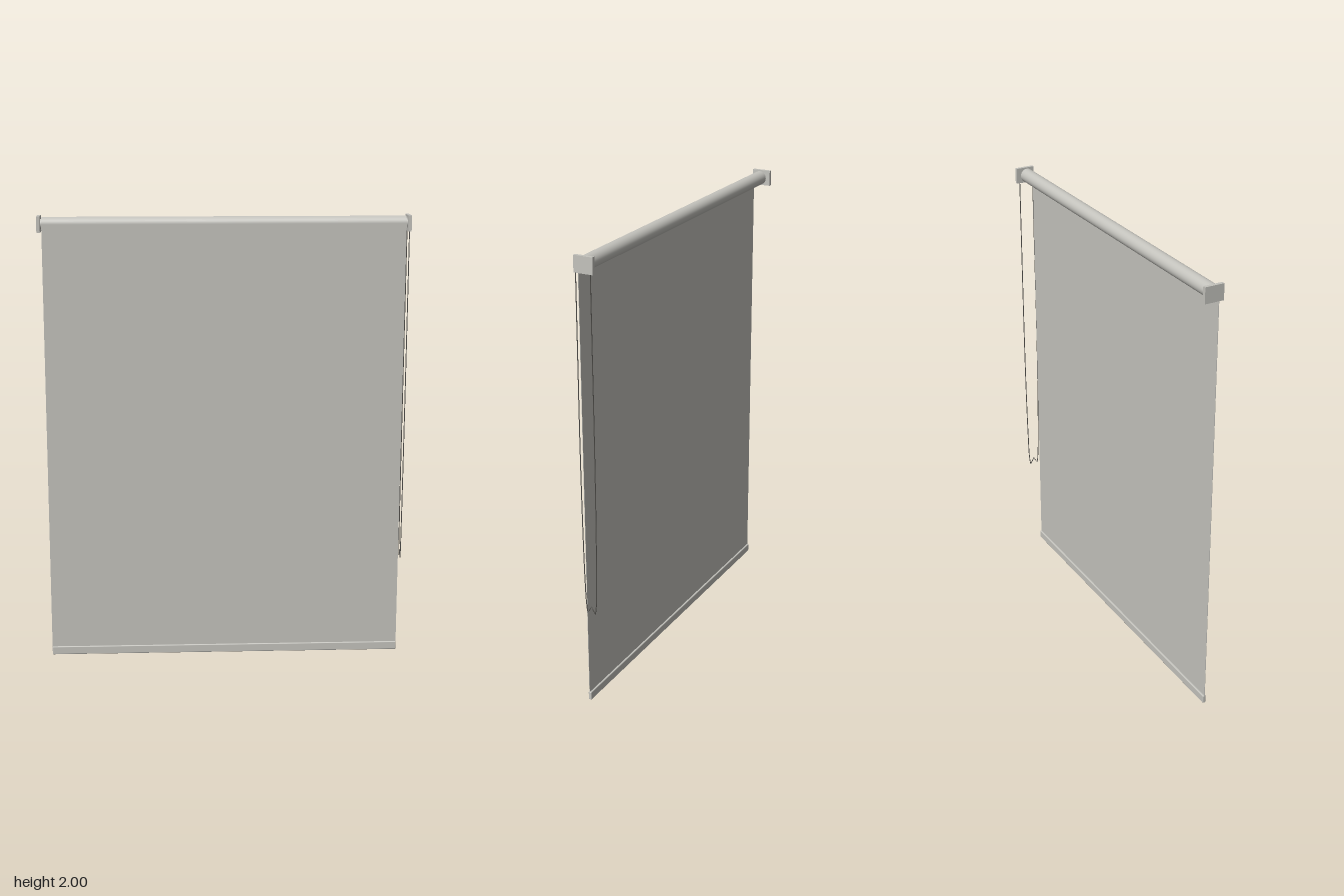
import * as THREE from 'three';
import { RoundedBoxGeometry } from 'three/addons/geometries/RoundedBoxGeometry.js';

const W = 1.586; // fabric width
const ROLL_R = 0.031, ROLL_Y = 1.965, ROLL_Z = 0.005;

export function createModel() {
  const group = new THREE.Group();
  const cloth = new THREE.MeshStandardMaterial({ color: 0xc4c3bd });
  cloth.name = 'warm grey';
  const dark = new THREE.MeshStandardMaterial({ color: 0x55534f });
  dark.name = 'dark grey';

  function add(name, geometry, material, x, y, z) {
    const mesh = new THREE.Mesh(geometry, material);
    mesh.name = name;
    mesh.position.set(x, y, z);
    group.add(mesh);
    return mesh;
  }

  // Roller with the wound fabric
  const roll = new THREE.CylinderGeometry(ROLL_R, ROLL_R, W, 40).rotateZ(Math.PI / 2);
  add('roller', roll, cloth, 0, ROLL_Y, ROLL_Z);

  // Hanging fabric, leaving the front of the roller
  const top = ROLL_Y, bottom = 0.02;
  add('fabric', new THREE.BoxGeometry(W, top - bottom, 0.002), cloth,
    0, (top + bottom) / 2, ROLL_Z + ROLL_R - 0.001);

  // Weighted bottom bar
  add('bottomBar', new RoundedBoxGeometry(W, 0.038, 0.015, 3, 0.004), cloth, 0, 0.019, 0.034);

  // End brackets and roller pins
  for (const [side, s] of [['left', 1], ['right', -1]]) {
    add(side + 'Bracket', new THREE.BoxGeometry(0.015, 0.07, 0.086), cloth, s * 0.8065, 1.965, 0);
    const pin = new THREE.CylinderGeometry(0.022, 0.022, 0.012, 24).rotateZ(Math.PI / 2);
    add(side + 'Pin', pin, cloth, s * 0.796, ROLL_Y, ROLL_Z);
  }

  // Pull cord: a long loop with a small kink at the bottom
  const cordPoints = [
    [1.95, 0.039], [1.6, 0.040], [1.2, 0.041], [0.85, 0.039], [0.6, 0.035], [0.48, 0.030],
    [0.44, 0.024], [0.46, 0.014], [0.472, 0.007], [0.46, 0.0],
    [0.44, -0.010], [0.48, -0.017], [0.6, -0.021], [0.85, -0.025], [1.2, -0.027], [1.6, -0.027], [1.95, -0.027],
  ].map(([y, z]) => new THREE.Vector3(0.805, y, z));
  const cord = new THREE.TubeGeometry(new THREE.CatmullRomCurve3(cordPoints), 160, 0.002, 6);
  add('pullCord', cord, dark, 0, 0, 0);

  return group;
}
